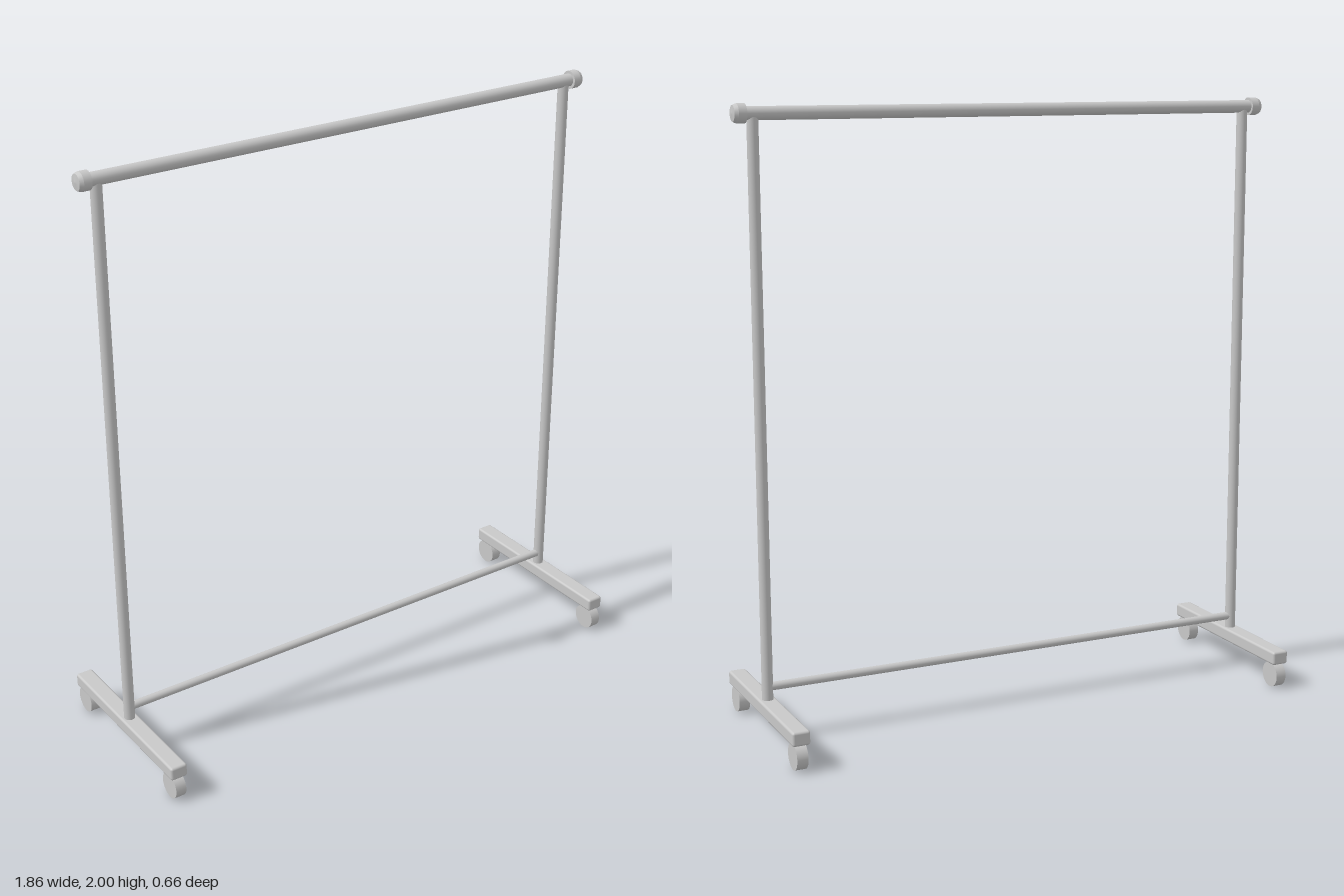
import * as THREE from 'three';
import { RoundedBoxGeometry } from 'three/addons/geometries/RoundedBoxGeometry.js';

export function createModel() {
  const model = new THREE.Group();
  model.name = 'garmentRack';

  const metal = new THREE.MeshStandardMaterial({ color: 0xc8c8c8 });
  metal.name = 'lightGrey';

  const add = (name, geometry, x, y, z) => {
    const mesh = new THREE.Mesh(geometry, metal);
    mesh.name = name;
    mesh.position.set(x, y, z);
    model.add(mesh);
    return mesh;
  };

  const postX = 0.866;
  const railY = 1.97;

  // Cylinder lying along x
  const barX = (radius, length) =>
    new THREE.CylinderGeometry(radius, radius, length, 24).rotateZ(Math.PI / 2);

  // Horizontal rails
  add('hangingRail', barX(0.021, 1.8), 0, railY, 0);
  add('lowerRail', barX(0.0135, 2 * postX), 0, 0.172, 0);

  // End cap with a bevelled, slightly crowned outer face
  const creased = [[0, 0], [0.03, 0], [0.03, 0], [0.03, 0.026], [0.03, 0.026],
    [0.025, 0.038], [0.025, 0.038], [0, 0.041]];
  const capGeometry = new THREE.LatheGeometry(
    creased.map(([r, h]) => new THREE.Vector2(r, h)), 24);

  for (const side of [1, -1]) {
    const label = side > 0 ? 'left' : 'right';
    const x = side * postX;

    const cap = add(label + 'EndCap', capGeometry, side * 0.89, railY, 0);
    cap.rotation.z = -side * Math.PI / 2;

    // Upright from foot to hanging rail
    add(label + 'Post', new THREE.CylinderGeometry(0.018, 0.018, 1.85, 24), x, 1.035, 0);

    // Foot beam with softened edges
    add(label + 'Foot', new RoundedBoxGeometry(0.058, 0.046, 0.644, 2, 0.008), x, 0.108, 0);

    // Wheels under both ends of the foot
    for (const end of [1, -1]) {
      add(label + (end > 0 ? 'Front' : 'Back') + 'Wheel',
        barX(0.043, 0.036), x, 0.043, end * 0.285);
    }
  }

  return model;
}
